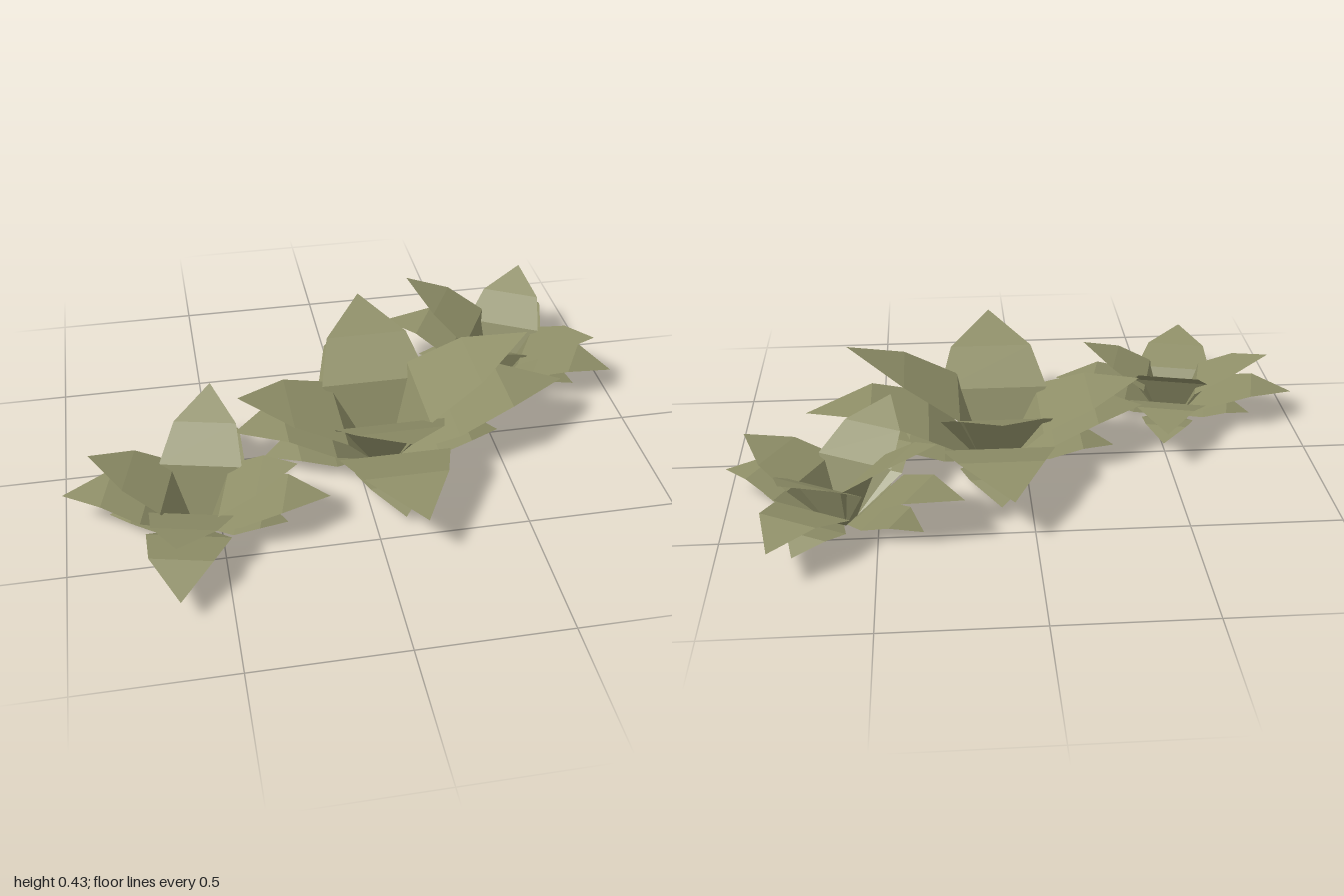
import * as THREE from 'three';

const olive = new THREE.MeshStandardMaterial({ color: 0x8f8f68, flatShading: true, side: THREE.DoubleSide });
olive.name = 'oliveLeaf';

// Leaf profiles per layer: [distance from stem, height, half width], from base to tip
const PROFILES = {
  upper: [[0.05, 0, 0.05], [0.13, 0.2, 0.19], [0.3, 0.29, 0.145], [0.475, 0.36, 0]],
  middle: [[0.05, 0, 0.05], [0.22, 0.14, 0.19], [0.4, 0.19, 0.14], [0.6, 0.16, 0]],
  lower: [[0.05, 0, 0.04], [0.18, 0.045, 0.13], [0.3, 0.065, 0.1], [0.42, 0.025, 0]],
};

// Folded leaf along +x: its profile is turned and stretched so the tip lands on (tipR, tipY)
function leafGeometry(profile, tipR, tipY, tipShift) {
  const [r0] = profile[0];
  const [r3, y3] = profile[3];
  const turn = Math.atan2(tipY, tipR - r0) - Math.atan2(y3, r3 - r0);
  const stretch = Math.hypot(tipR - r0, tipY) / Math.hypot(r3 - r0, y3);
  const c = Math.cos(turn) * stretch, s = Math.sin(turn) * stretch;
  const rows = profile.map(([r, y, w], i) => {
    const x = r0 + (r - r0) * c - y * s;
    const h = (r - r0) * s + y * c;
    const z = i === 3 ? -tipShift : 0;
    return [[x, h, z - w], [x, h, z + w]];
  });
  const pos = [];
  for (let i = 0; i < 3; i++) {
    const [a, b] = rows[i], [d, e] = rows[i + 1];
    pos.push(...a, ...b, ...e);
    if (i < 2) pos.push(...a, ...e, ...d);
  }
  const geo = new THREE.BufferGeometry();
  geo.setAttribute('position', new THREE.Float32BufferAttribute(pos, 3));
  geo.computeVertexNormals();
  return geo;
}

// Tip [distance, height] of the four leaves in a layer
const UPPER_TIPS = [[0.5, 0.43], [0.46, 0.36], [0.5, 0.28], [0.475, 0.36]];
const LOWER_TIPS = [[0.42, 0.03], [0.41, 0.025], [0.42, 0.02], [0.41, 0.025]];

function plant(name, middleTips) {
  const group = new THREE.Group();
  group.name = name;
  const layers = { upper: UPPER_TIPS, middle: middleTips, lower: LOWER_TIPS };
  for (const [layer, tips] of Object.entries(layers)) {
    tips.forEach(([r, y], i) => {
      const leaf = new THREE.Mesh(leafGeometry(PROFILES[layer], r, y, layer === 'middle' ? 0.03 : 0), olive);
      leaf.name = `${layer}Leaf${i + 1}`;
      leaf.rotation.y = -i * Math.PI / 2;
      group.add(leaf);
    });
  }
  return group;
}

export function createModel() {
  const model = new THREE.Group();
  model.name = 'leafyPlants';

  // Large plant in the middle
  const centre = plant('centrePlant', [[0.65, 0.2], [0.595, 0.16], [0.52, 0.16], [0.605, 0.16]]);
  centre.position.set(0.1, 0, 0.025);

  // Two smaller plants on either side
  const front = plant('frontSmallPlant', [[0.64, 0.2], [0.6, 0.16], [0.64, 0.11], [0.61, 0.15]]);
  front.position.set(-0.57, 0, 0.31);
  front.rotation.y = Math.PI / 2 - 0.24;
  front.scale.setScalar(0.72);

  const back = plant('backSmallPlant', [[0.61, 0.2], [0.62, 0.16], [0.6, 0.11], [0.61, 0.16]]);
  back.position.set(0.62, 0, -0.37);
  back.rotation.y = Math.PI - 0.5;
  back.scale.set(0.72, 0.82, 0.72);

  model.add(centre, front, back);
  return model;
}
